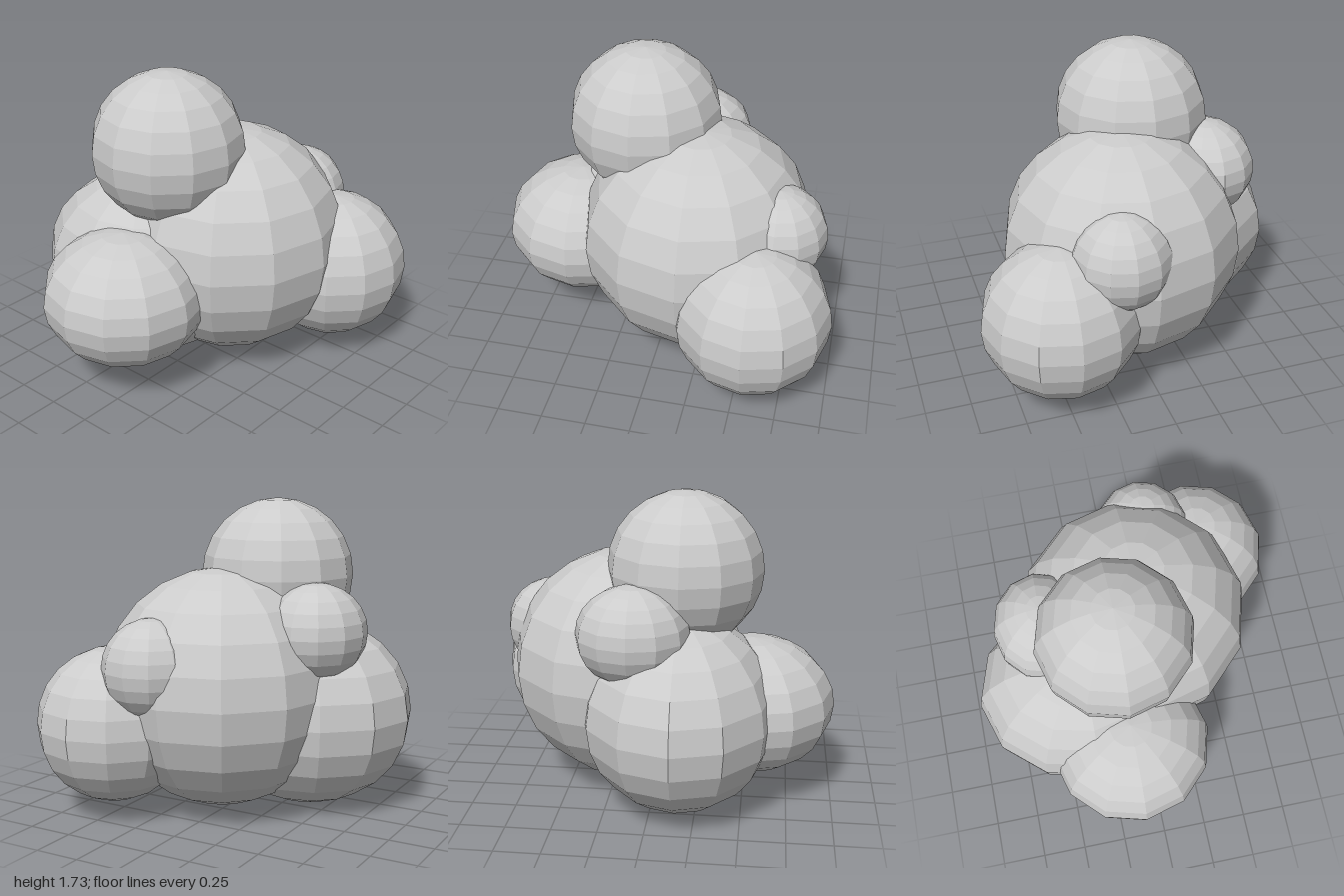
import * as THREE from 'three';

// name, centre [x, y, z], radii [x, y, z]
const LOBES = [
  ['mainLobe', [0.18, 0.695, 0.04], [0.665, 0.665, 0.665]],
  ['topLobe', [-0.16, 1.30, -0.13], [0.43, 0.43, 0.43]],
  ['rightLobe', [-0.54, 0.535, -0.12], [0.46, 0.38, 0.46]],
  ['frontLobe', [0.57, 0.51, 0.50], [0.43, 0.43, 0.43]],
  ['backLobe', [-0.15, 0.54, -0.32], [0.54, 0.54, 0.62]],
  ['smallLeftLobe', [0.65, 0.86, 0.19], [0.27, 0.27, 0.27]],
  ['smallBackLobe', [0.085, 1.025, -0.49], [0.305, 0.27, 0.275]],
];

export function createModel() {
  const model = new THREE.Group();
  model.name = 'lobedCluster';

  const material = new THREE.MeshStandardMaterial({ color: 0xcccccc, flatShading: true });
  const ball = new THREE.SphereGeometry(1, 12, 12);

  // Overlapping faceted ellipsoids make up the whole cluster
  for (const [name, centre, radii] of LOBES) {
    const lobe = new THREE.Mesh(ball, material);
    lobe.name = name;
    lobe.position.set(...centre);
    lobe.scale.set(...radii);
    model.add(lobe);
  }
  return model;
}
